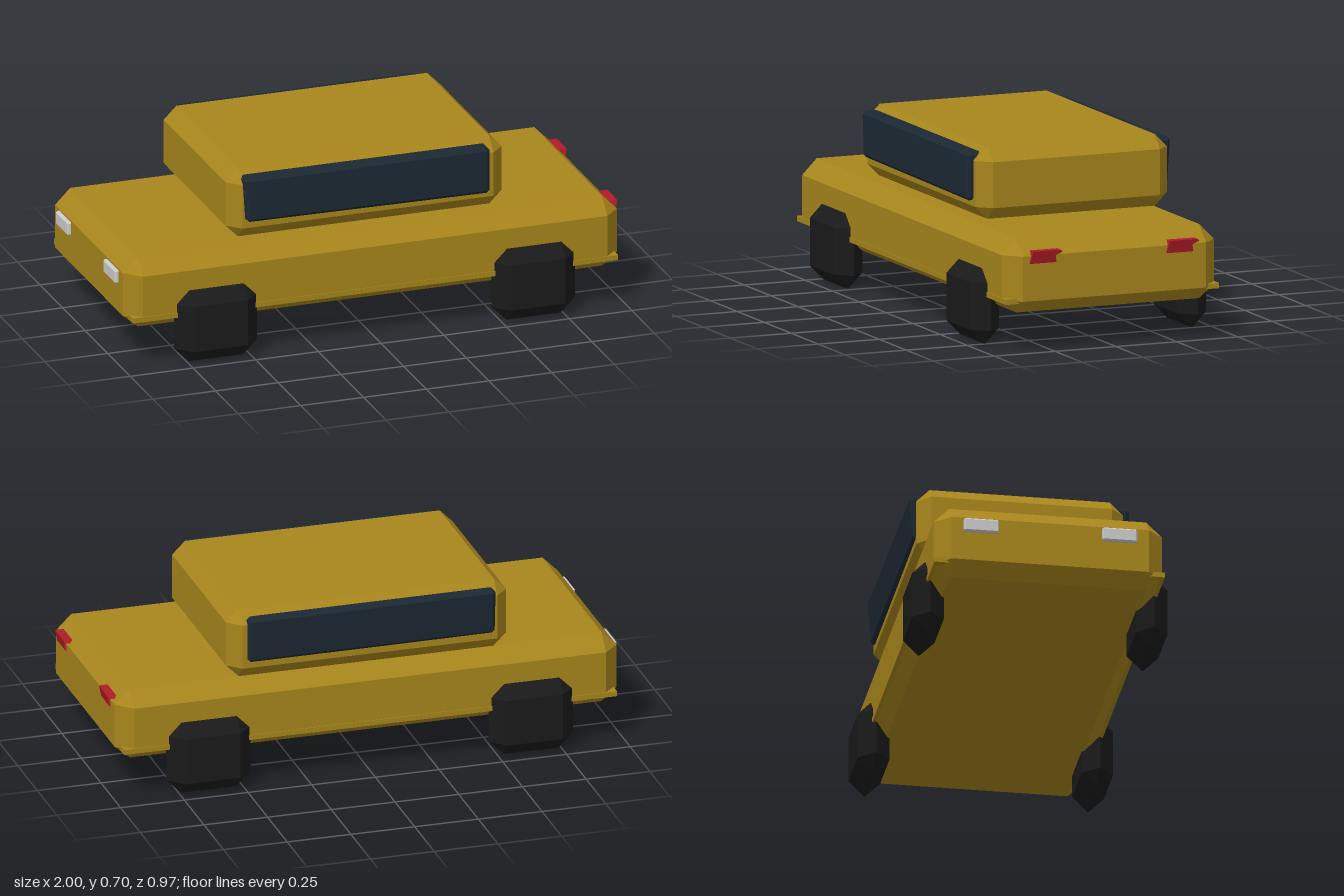
import * as THREE from 'three';
import { ConvexGeometry } from 'three/addons/geometries/ConvexGeometry.js';

const mat = (color) => new THREE.MeshStandardMaterial({ color, flatShading: true });

// Box with all edges and corners cut off by c; reshape may move each corner point
function chamferBox([x0, x1], [y0, y1], [z0, z1], c, reshape) {
  const center = new THREE.Vector3((x0 + x1) / 2, (y0 + y1) / 2, (z0 + z1) / 2);
  const half = [(x1 - x0) / 2, (y1 - y0) / 2, (z1 - z0) / 2];
  const points = [];
  for (const sx of [-1, 1]) for (const sy of [-1, 1]) for (const sz of [-1, 1]) {
    for (let axis = 0; axis < 3; axis++) {
      const h = half.map((v, i) => (i === axis ? v : v - c));
      const p = new THREE.Vector3(sx * h[0], sy * h[1], sz * h[2]).add(center);
      if (reshape) reshape(p);
      points.push(p);
    }
  }
  return new ConvexGeometry(points);
}

export function createModel() {
  const car = new THREE.Group();
  const paint = mat(0xa8861c);
  const glass = mat(0x1c2833);
  const rubber = mat(0x1a1a1a);
  const red = mat(0xb01c28);
  const lamp = mat(0xcccccc);

  const add = (name, geometry, material) => {
    const mesh = new THREE.Mesh(geometry, material);
    mesh.name = name;
    car.add(mesh);
    return mesh;
  };

  // Body, sill plate and cabin
  add('body', chamferBox([-0.985, 0.985], [0.145, 0.427], [-0.435, 0.435], 0.06,
    (p) => { if (p.y > 0.18 && p.y < 0.25) p.y = 0.195; }), paint);
  const sill = add('sillPlate', new THREE.BoxGeometry(1.935, 0.02, 0.876), paint);
  sill.position.y = 0.195;
  add('cabin', chamferBox([-0.55, 0.55], [0.425, 0.7], [-0.43, 0.355], 0.05), paint);

  // Side windows, each slightly out of square
  add('frontWindow', chamferBox([-0.5, 0.48], [0.5, 0.68], [0.31, 0.38], 0.012,
    (p) => { if (p.y < 0.55) { p.y -= 0.008 * p.x; if (p.x < 0) p.x += 0.01; } }), glass);
  add('backWindow', chamferBox([-0.49, 0.48], [0.5, 0.68], [-0.455, -0.405], 0.012,
    (p) => { p.z += 0.07 * (0.68 - p.y) - 0.005 * p.x; }), glass);

  // Wheels
  for (const x of [-0.633, 0.633]) for (const z of [-0.425, 0.425]) {
    add('wheel', chamferBox([x - 0.165, x + 0.165], [0, 0.295], [z - 0.06, z + 0.06], 0.057), rubber);
  }

  // Headlights
  for (const z of [-0.263, 0.263]) {
    add('headlight', chamferBox([-1, -0.96], [0.308, 0.362], [z - 0.067, z + 0.067], 0.006), lamp);
  }

  // Tail lights: hooked outline across z, pushed out along x
  const outline = [[0.348, 0.338], [0.338, 0.386], [0.226, 0.386], [0.218, 0.377], [0.245, 0.366], [0.238, 0.338]];
  const hook = new THREE.Shape(outline.map(([z, y]) => new THREE.Vector2(-z, y)));
  for (const z of [0, -0.561]) {
    const geometry = new THREE.ExtrudeGeometry(hook, { depth: 0.035, bevelEnabled: false });
    geometry.rotateY(Math.PI / 2).translate(0.965, 0, z);
    // Lean the lower edge back towards the body
    const pos = geometry.attributes.position;
    for (let i = 0; i < pos.count; i++) {
      pos.setX(i, pos.getX(i) - 0.25 * Math.max(0, 0.386 - pos.getY(i)));
    }
    geometry.computeVertexNormals();
    add('tailLight', geometry, red);
  }

  return car;
}
